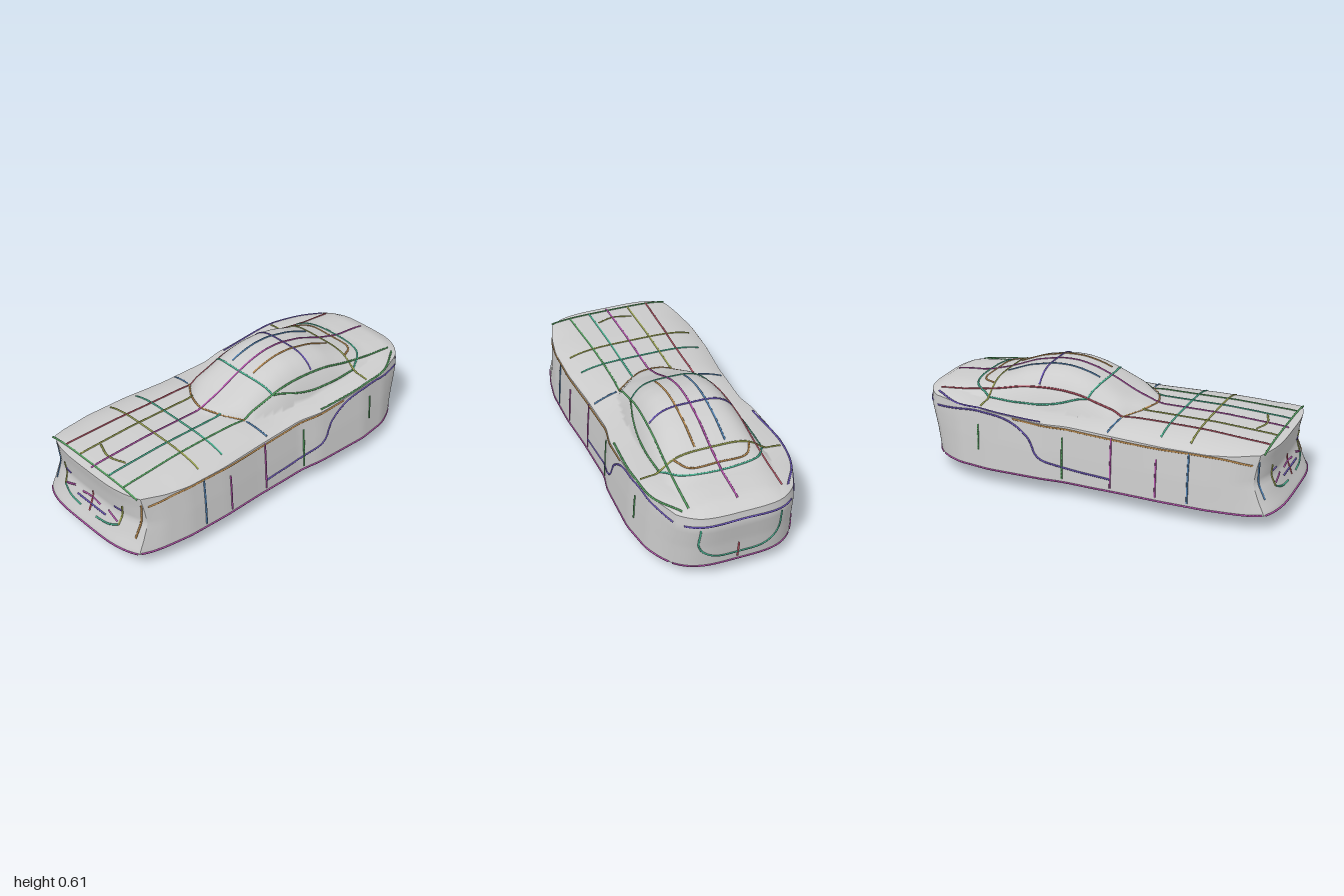
import * as THREE from 'three';
import { ParametricGeometry } from 'three/addons/geometries/ParametricGeometry.js';

// Smoothed lookup in a short list of [position, value] pairs (ascending)
function curve(pairs, soft = 0.03) {
  const at = (p) => {
    if (p <= pairs[0][0]) return pairs[0][1];
    for (let i = 1; i < pairs.length; i++) {
      const [a, av] = pairs[i - 1], [b, bv] = pairs[i];
      if (p <= b) return av + (bv - av) * (p - a) / (b - a);
    }
    return pairs[pairs.length - 1][1];
  };
  return (p) => {
    let sum = 0;
    for (let k = -3; k <= 3; k++) sum += at(p + soft * k / 3);
    return sum / 7;
  };
}

// Plan half width, deck centre and edge heights, cabin height and width along z
const halfWidth = curve([[-1, 0.29], [-0.9, 0.34], [-0.8, 0.38], [-0.6, 0.41], [-0.25, 0.405], [-0.12, 0.38],
  [0.2, 0.39], [0.45, 0.41], [0.7, 0.41], [0.85, 0.385], [1, 0.34]]);
const deckMid = curve([[-1, 0.42], [-0.93, 0.455], [-0.8, 0.455], [-0.6, 0.44], [-0.3, 0.42], [0, 0.42], [0.2, 0.44],
  [0.6, 0.44], [0.9, 0.425], [1, 0.41]]);
const deckEdge = curve([[-1, 0.385], [-0.85, 0.41], [-0.6, 0.425], [-0.3, 0.40], [0.2, 0.385], [0.75, 0.385], [1, 0.41]]);
const cabinHeight = curve([[-1, 0], [-0.9, 0.01], [-0.75, 0.025], [-0.6, 0.08], [-0.45, 0.15], [-0.3, 0.192], [-0.2, 0.192],
  [-0.1, 0.17], [0, 0.13], [0.13, 0.052], [0.25, 0]]);
const cabinWidth = curve([[-1, 0.2], [-0.7, 0.27], [-0.4, 0.285], [-0.1, 0.27], [0.1, 0.24], [0.25, 0.06]]);

// Underside: depth along z times two unequal lobes across x
const bellyDepth = curve([[-0.95, 0], [-0.8, 0.018], [-0.68, 0.018], [-0.57, 0.008], [-0.3, 0.05], [0, 0.08],
  [0.4, 0.099], [0.7, 0.085], [0.88, 0.045], [0.97, 0]]);
const lobes = curve([[-0.42, 0], [-0.3, 0.6], [-0.2, 0.85], [-0.14, 0.88], [-0.07, 0.65], [-0.02, 0.25], [0.02, 0.2],
  [0.06, 0.5], [0.11, 0.85], [0.19, 1], [0.27, 0.92], [0.34, 0.6], [0.42, 0]], 0.02);

const flare = curve([[0, 1.025], [0.5, 1.005], [1, 0.975]], 0.05);
const frontBulge = curve([[0, 0.035], [0.2, 0.005], [0.5, -0.03], [0.8, -0.015], [1, 0]], 0.05);
const rearBulge = curve([[0, -0.02], [0.4, 0], [0.8, 0.03], [1, 0.025]], 0.05);

const topY = (x, z) => {
  const u = Math.min(1, Math.abs(x) / (halfWidth(z) * 0.975));
  const s = Math.min(1, Math.abs(x) / cabinWidth(z));
  return deckEdge(z) + (deckMid(z) - deckEdge(z)) * (1 - u ** 4) + cabinHeight(z) * (1 - s ** 4);
};
const bellyY = (x, z) => 0.1 - bellyDepth(z) * lobes(x);

// Plan position for u across, v along (both -1..1) and wall height t (0..1)
function plan(u, v, t) {
  const end = v > 0 ? 0.965 - 0.06 * u ** 4 : 0.97 - 0.1 * u ** 4;
  const bulge = (v > 0 ? frontBulge(t) : rearBulge(t)) * Math.abs(v) ** 8;
  return [u * halfWidth(v * 0.96) * flare(t), v * end + Math.sign(v) * bulge];
}
function wall(u, v, t, target) {
  const [x, z] = plan(u, v, t);
  const [x0, z0] = plan(u, v, 0), [x1, z1] = plan(u, v, 1);
  return target.set(x, THREE.MathUtils.lerp(bellyY(x0, z0), topY(x1, z1), t), z);
}

export function createModel() {
  const model = new THREE.Group();
  const grey = new THREE.MeshStandardMaterial({ color: 0xcccccc, side: THREE.DoubleSide });
  const addSurface = (name, fn, slices, stacks) => {
    const mesh = new THREE.Mesh(new ParametricGeometry(fn, slices, stacks), grey);
    mesh.name = name;
    model.add(mesh);
  };

  // Body shell
  addSurface('upperBody', (a, b, p) => {
    const [x, z] = plan(1 - 2 * a, 2 * b - 1, 1);
    p.set(x, topY(x, z), z);
  }, 72, 100);
  addSurface('underside', (a, b, p) => {
    const [x, z] = plan(2 * a - 1, 2 * b - 1, 0);
    p.set(x, bellyY(x, z), z);
  }, 60, 70);
  addSurface('frontFace', (a, b, p) => wall(2 * a - 1, 1, b, p), 60, 14);
  addSurface('rearFace', (a, b, p) => wall(1 - 2 * a, -1, b, p), 60, 14);
  addSurface('leftSide', (a, b, p) => wall(1, 1 - 2 * a, b, p), 100, 14);
  addSurface('rightSide', (a, b, p) => wall(-1, 2 * a - 1, b, p), 100, 14);

  // Coloured design lines laid on the shell
  const materials = {};
  const projectors = {
    top: ([x, z]) => new THREE.Vector3(x, topY(x, z), z),
    left: ([z, y]) => onWall(1, z / (z > 0 ? 0.905 : 0.87), y),
    right: ([z, y]) => onWall(-1, z / (z > 0 ? 0.905 : 0.87), y),
    front: ([x, y]) => onWall(x / 0.345, 1, y),
    rear: ([x, y]) => onWall(x / 0.31, -1, y),
  };
  function onWall(u, v, y) {
    u = THREE.MathUtils.clamp(u, -1, 1);
    v = THREE.MathUtils.clamp(v, -1, 1);
    const t = THREE.MathUtils.clamp((y - 0.1) / (wall(u, v, 1, new THREE.Vector3()).y - 0.1), 0, 1);
    return wall(u, v, t, new THREE.Vector3());
  }
  function line(name, face, color, points) {
    // Resample in flat coordinates first, so the line follows the surface
    const flat = new THREE.CatmullRomCurve3(points.map(([a, b]) => new THREE.Vector3(a, b, 0)));
    const count = Math.max(6, Math.ceil(flat.getLength() / 0.04));
    const path = new THREE.CatmullRomCurve3(flat.getSpacedPoints(count).map((q) => projectors[face]([q.x, q.y])));
    materials[color] ??= new THREE.MeshStandardMaterial({ color });
    const mesh = new THREE.Mesh(new THREE.TubeGeometry(path, count * 2, 0.005, 6), materials[color]);
    mesh.name = name;
    model.add(mesh);
  }
  const mirrored = (name, face, colors, points) => [-1, 1].forEach((s, i) =>
    line(name, face, colors[i], points.map(([a, b]) => [a * s, b])));
  const arc = (name, face, color, half) =>
    line(name, face, color, [...half.map(([a, b]) => [-a, b]), ...half.filter(([a]) => a > 0).reverse()]);

  const red = 0xb05060, green = 0x55a060, teal = 0x48b090, blue = 0x5080b0, purple = 0x6a55b8,
    magenta = 0xb050a8, orange = 0xb88a50, olive = 0x98a050;

  // Lines along and across the top
  line('centreLine', 'top', magenta, [[0.005, -0.93], [0.005, 0.94]]);
  mirrored('longLine', 'top', [red, green], [[0.24, -0.9], [0.23, -0.4], [0.21, 0.3], [0.23, 0.92]]);
  mirrored('hoodLine', 'top', [olive, teal], [[0.11, 0.2], [0.115, 0.92]]);
  mirrored('roofLine', 'top', [blue, orange], [[0.08, -0.58], [0.08, -0.05]]);
  mirrored('cabinSideLine', 'top', [teal, green], [[0.22, -0.06], [0.255, -0.2], [0.275, -0.4], [0.27, -0.6]]);
  mirrored('shoulderLine', 'top', [purple, green], [[0.27, -0.9], [0.36, -0.75], [0.39, -0.55], [0.38, -0.25]]);
  const crossLines = [[0.39, 0.34, teal], [0.55, 0.35, olive], [0.92, 0.34, green], [-0.33, 0.22, purple], [-0.6, 0.37, olive]];
  for (const [z, w, color] of crossLines) line('crossLine', 'top', color, [[-w, z], [w, z]]);
  arc('windscreenBase', 'top', orange, [[0.22, 0.13], [0.1, 0.21], [0, 0.24]]);
  mirrored('cowlLine', 'top', [blue, blue], [[0.23, 0.13], [0.36, 0.11]]);
  arc('windscreenTop', 'top', teal, [[0.22, -0.06], [0.14, -0.03], [0, -0.02]]);
  arc('rearWindowOuter', 'top', teal, [[0.27, -0.6], [0.2, -0.7], [0, -0.735]]);
  arc('rearWindowInner', 'top', orange, [[0.2, -0.6], [0.15, -0.68], [0, -0.69]]);
  arc('hoodCrease', 'top', olive, [[0.1, 0.8], [0, 0.83]]);

  // Side lines
  for (const side of ['left', 'right']) {
    line('sillLine', side, magenta, [[-0.87, 0.102], [0.9, 0.102]]);
    line('beltLine', side, orange, [[0.88, 0.35], [0.7, 0.375], [0.2, 0.37], [-0.2, 0.385], [-0.4, 0.4]]);
    line('haunchLine', side, purple, [[0.14, 0.165], [-0.15, 0.185], [-0.26, 0.22], [-0.31, 0.31], [-0.42, 0.385],
      [-0.6, 0.41], [-0.86, 0.37]]);
    const posts = [[0.56, 0.38, blue], [0.39, 0.32, magenta], [0.14, 0.38, magenta], [-0.13, 0.34, green], [-0.6, 0.34, green]];
    for (const [z, y, color] of posts) line('sidePost', side, color, [[z, z === -0.6 ? 0.2 : 0.12], [z, y]]);
  }

  // Nose lines
  mirrored('grilleEdge', 'front', [olive, olive], [[0.23, 0.32], [0.21, 0.2]]);
  mirrored('grilleBase', 'front', [teal, teal], [[0.21, 0.2], [0.15, 0.175], [0.06, 0.165]]);
  mirrored('grilleWing', 'front', [magenta, magenta], [[0.2, 0.21], [0.13, 0.235]]);
  mirrored('grilleTop', 'front', [purple, purple], [[0.22, 0.28], [0.17, 0.28]]);
  mirrored('lampLine', 'front', [blue, orange], [[0.34, 0.37], [0.32, 0.26], [0.31, 0.17]]);
  line('grilleBar', 'front', purple, [[-0.1, 0.205], [0.12, 0.205]]);
  arc('grilleArc', 'front', magenta, [[0.07, 0.232], [0, 0.24]]);
  line('noseLine', 'front', red, [[0.005, 0.28], [0.005, 0.17]]);
  line('noseSill', 'front', magenta, [[-0.34, 0.1], [0.34, 0.1]]);

  // Tail lines
  arc('tailPanel', 'rear', teal, [[0.21, 0.36], [0.2, 0.22], [0.13, 0.16], [0, 0.15]]);
  line('tailTop', 'rear', purple, [[-0.28, 0.37], [0, 0.385], [0.28, 0.37]]);
  line('tailCentre', 'rear', red, [[0.005, 0.22], [0.005, 0.12]]);
  line('tailSill', 'rear', magenta, [[-0.3, 0.1], [0.3, 0.1]]);

  return model;
}
